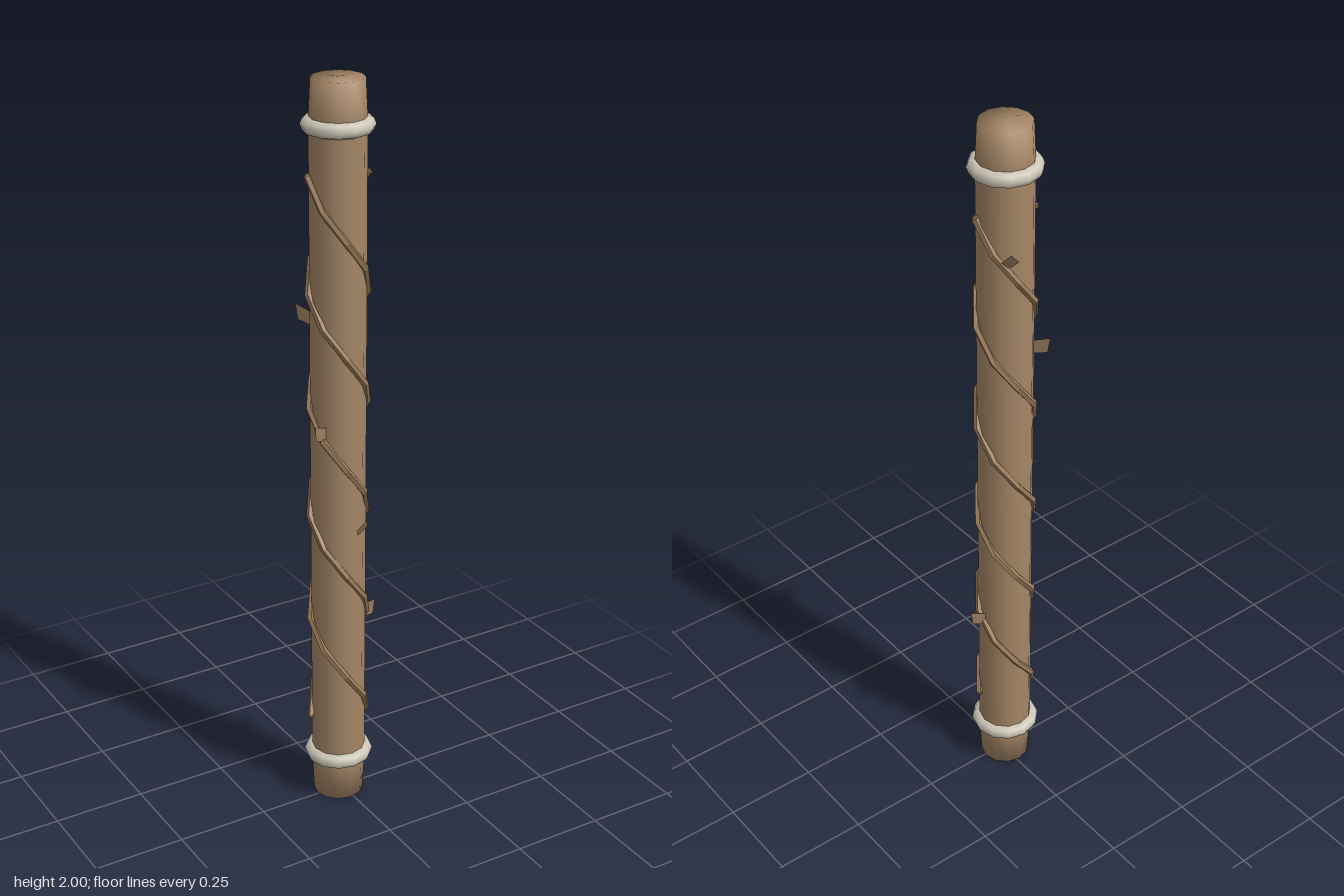
import * as THREE from 'three';

const wood = new THREE.MeshStandardMaterial({ color: 0xa58767 });
wood.name = 'wood';
const vineBrown = new THREE.MeshStandardMaterial({ color: 0x9a7b5a, flatShading: true });
vineBrown.name = 'vine brown';
const leafBrown = new THREE.MeshStandardMaterial({ color: 0x9c8060, side: THREE.DoubleSide, flatShading: true });
leafBrown.name = 'dry leaf brown';
const cream = new THREE.MeshStandardMaterial({ color: 0xcfc9ba });
cream.name = 'cream';

// Point at radius r and angle a, measured from +x towards +z
const polar = (r, a, y) => new THREE.Vector3(r * Math.cos(a), y, r * Math.sin(a));

// Low-sided helix winding two and a half turns up the pole
function vineGeometry(start) {
  const steps = 20;
  const path = new THREE.CurvePath();
  const at = i => polar(0.077, start + (i / steps) * Math.PI * 5, 0.24 + (i / steps) * 1.52);
  for (let i = 0; i < steps; i++) path.add(new THREE.LineCurve3(at(i), at(i + 1)));
  return new THREE.TubeGeometry(path, steps, 0.0095, 5, false);
}

// Four-cornered leaf; corners are [radius, height, sideways] around the pole
function leafGeometry(corners, angle, y) {
  const side = polar(1, angle + Math.PI / 2, 0);
  const pts = corners.map(([r, h, t]) => polar(r, angle, y + h).addScaledVector(side, t));
  const g = new THREE.BufferGeometry().setFromPoints(pts);
  g.setIndex([0, 1, 2, 0, 2, 3]);
  g.computeVertexNormals();
  return g;
}

export function createModel() {
  const group = new THREE.Group();
  const add = (name, geometry, material) => {
    const mesh = new THREE.Mesh(geometry, material);
    mesh.name = name;
    group.add(mesh);
    return mesh;
  };

  // Pole, drawn in slightly at both ends
  const profile = [[0, 0], [0.067, 0], [0.072, 0.1], [0.072, 1.9], [0.067, 2], [0, 2]];
  add('pole', new THREE.LatheGeometry(profile.map(p => new THREE.Vector2(...p)), 12), wood);

  // Binding rings
  for (const [name, y] of [['lowerRing', 0.125], ['upperRing', 1.885]]) {
    const ring = add(name, new THREE.TorusGeometry(0.073, 0.02, 8, 12), cream);
    ring.rotation.x = Math.PI / 2;
    ring.position.y = y;
  }

  // Two vines on opposite sides, with closed ends
  for (let i = 0; i < 2; i++) {
    const start = 0.26 + i * Math.PI;
    add('vine', vineGeometry(start), vineBrown);
    for (const [a, y] of [[start, 0.24], [start + Math.PI * 5, 1.76]]) {
      const tip = add('vineTip', new THREE.IcosahedronGeometry(0.0095, 0), vineBrown);
      tip.position.copy(polar(0.077, a, y));
    }
  }

  // Leaves: some stand out edgewise, others lean outwards
  const edgewise = [[0.068, -0.025, -0.004], [0.106, -0.014, 0.005], [0.112, 0.028, 0.004], [0.07, 0.013, -0.005]];
  const leaning = [[0.07, -0.028, 0], [0.086, 0, 0.021], [0.102, 0.028, 0], [0.086, 0, -0.021]];
  [edgewise, leaning, edgewise, edgewise, leaning].forEach((corners, i) => {
    const angle = THREE.MathUtils.degToRad(75 * i);
    add('leaf', leafGeometry(corners, angle, 0.533 + 0.285 * i + (i === 1 ? 0.012 : 0)), leafBrown);
  });

  // The pole stands slightly off centre because the leaves reach unevenly
  group.position.set(-0.008, 0, -0.006);
  const root = new THREE.Group();
  root.name = 'vineWrappedPole';
  root.add(group);
  return root;
}
